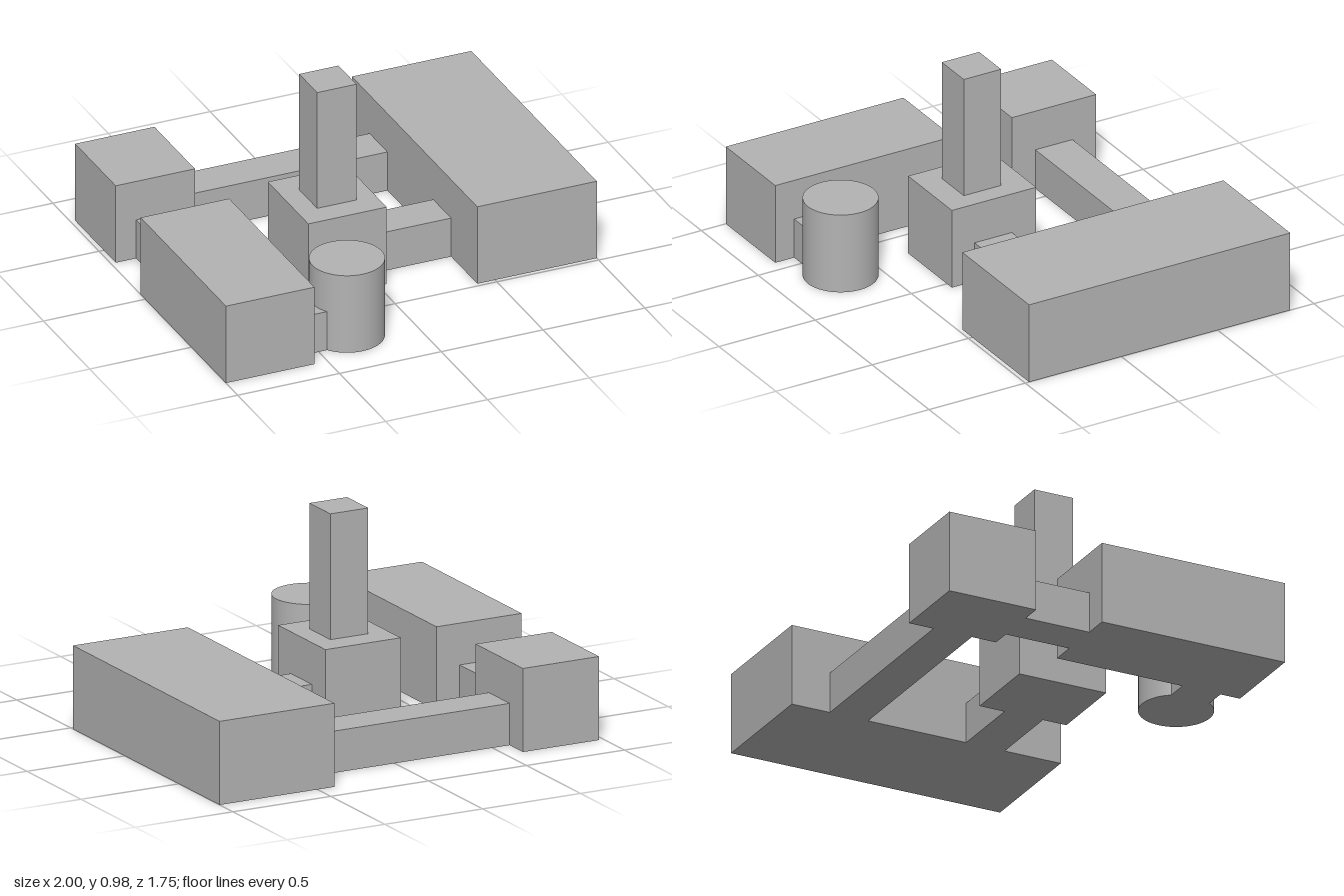
import * as THREE from 'three';

export function createModel() {
  const model = new THREE.Group();
  model.name = 'buildingComplex';
  const grey = new THREE.MeshStandardMaterial({ color: 0xb3b3b3 });
  grey.name = 'plain grey';

  const add = (name, geometry, x, y, z) => {
    const mesh = new THREE.Mesh(geometry, grey);
    mesh.name = name;
    mesh.position.set(x, y, z);
    model.add(mesh);
  };
  // Box given by its extents on each axis
  const block = (name, [x0, x1], [y0, y1], [z0, z1]) =>
    add(name, new THREE.BoxGeometry(x1 - x0, y1 - y0, z1 - z0),
      (x0 + x1) / 2, (y0 + y1) / 2, (z0 + z1) / 2);

  const full = [0, 0.39];
  const low = [0, 0.195];

  // Main halls
  block('leftHall', [0.413, 1], full, [-0.877, 0.48]);
  block('rightHall', [-1, -0.565], full, [-0.05, 0.873]);
  block('backRoom', [-0.977, -0.588], full, [-0.808, -0.37]);

  // Central room with its tower
  block('towerBase', [-0.342, 0.043], full, [-0.123, 0.315]);
  block('tower', [-0.245, -0.052], [0.39, 0.977], [0.003, 0.197]);

  // Low connecting corridors
  block('backCorridor', [-0.588, 0.413], low, [-0.685, -0.492]);
  block('sideCorridor', [-0.877, -0.683], low, [-0.37, -0.05]);
  block('towerCorridor', [0.043, 0.413], low, [0.003, 0.197]);
  block('roundRoomCorridor', [-0.565, -0.46], low, [0.583, 0.775]);

  // Round room
  add('roundRoom', new THREE.CylinderGeometry(0.17, 0.17, 0.39, 64), -0.318, 0.195, 0.68);

  return model;
}
